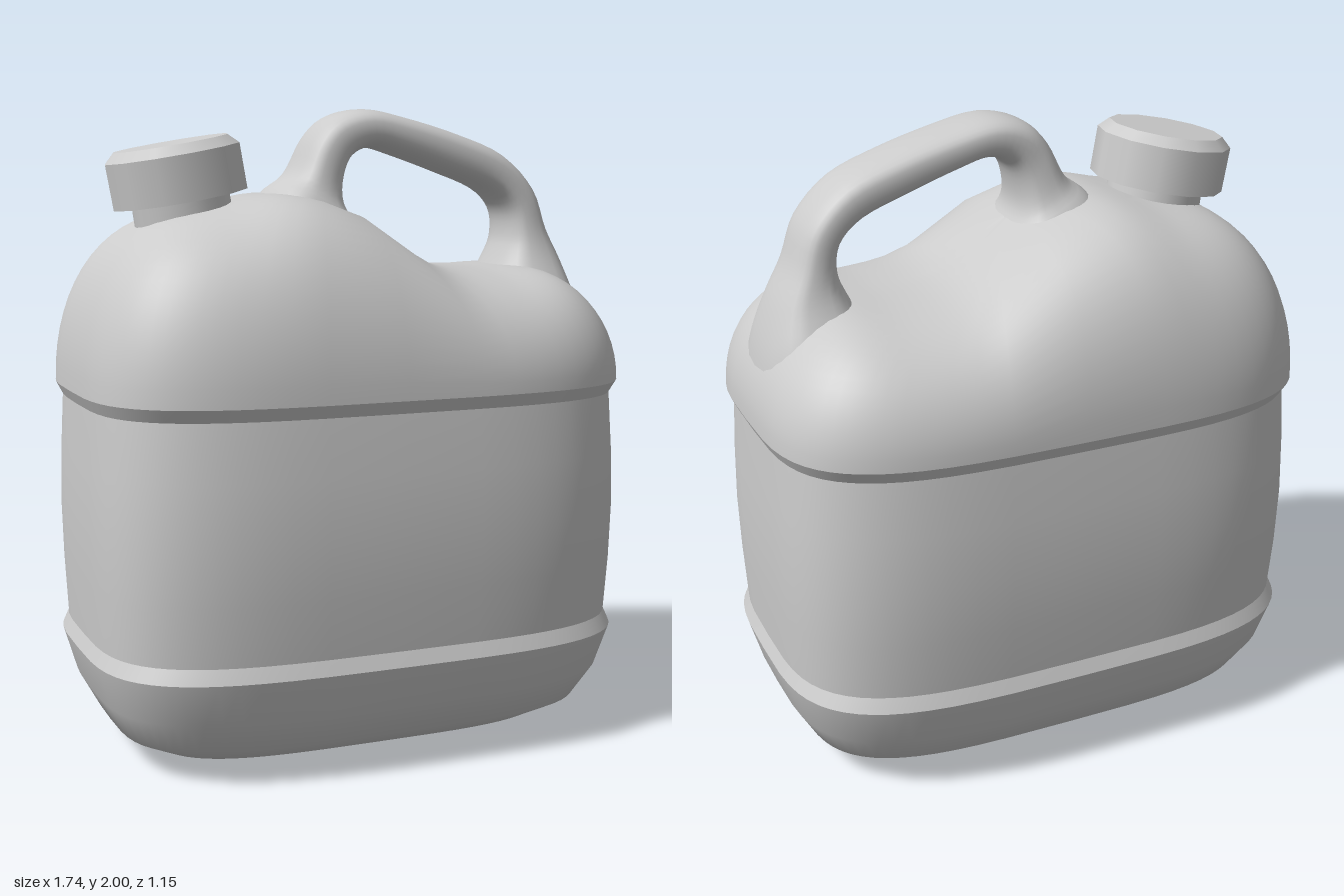
import * as THREE from 'three';

const material = new THREE.MeshStandardMaterial({ color: 0xcccccc });

// Skin closed rings of equal point count into one smooth surface
function loft(rings) {
  const n = rings[0].length;
  const pos = rings.flatMap(r => r.flatMap(p => [p.x, p.y, p.z]));
  const index = [];
  for (let i = 0; i < rings.length - 1; i++) {
    for (let j = 0; j < n; j++) {
      const k = (j + 1) % n;
      const a = i * n + j, b = i * n + k, c = a + n, d = b + n;
      index.push(a, c, b, b, c, d);
    }
  }
  const g = new THREE.BufferGeometry();
  g.setAttribute('position', new THREE.Float32BufferAttribute(pos, 3));
  g.setIndex(index);
  g.computeVertexNormals();
  return g;
}

// Unit superellipse points
function superellipse(count, power) {
  const f = v => Math.sign(v) * Math.pow(Math.abs(v), 2 / power);
  return Array.from({ length: count }, (_, j) => {
    const a = (j / count) * Math.PI * 2;
    return [f(Math.cos(a)), f(Math.sin(a))];
  });
}

const outline = superellipse(64, 3.7);
const bodyRing = ([y, hx, hz]) => outline.map(([c, s]) => new THREE.Vector3(c * hx, y, s * hz));

// Height of the top surface, evenly spaced along x
const HX = 0.87, HZ = 0.575, SHOULDER = 1.15;
const crest = new THREE.SplineCurve(
  [1.70, 1.71, 1.71, 1.74, 1.68, 1.535, 1.505, 1.54, 1.53].map((y, i) => new THREE.Vector2(i, y)));
const crestAt = x => crest.getPoint(THREE.MathUtils.clamp((x + HX) / (2 * HX), 0, 1)).y;

// Domed top: rings shrink to the middle while rising to the crest
function shoulderGeometry() {
  const rings = [];
  const steps = 22;
  for (let i = 0; i <= steps; i++) {
    const u = Math.max(Math.cos((i / steps) * Math.PI / 2), 0.002);
    const rise = Math.sqrt(1 - u ** 4);
    rings.push(outline.map(([c, s]) => {
      const x = c * HX * u ** 0.8;
      return new THREE.Vector3(x, SHOULDER + (crestAt(x) - SHOULDER) * rise, s * HZ * u ** 1.2);
    }));
  }
  return loft(rings);
}

// Handle: sections spanning an outer and an inner edge, with half width in z
function handleGeometry() {
  const sections = [ // outer x, y, inner x, y, half width
    [-0.34, 1.58, 0.12, 1.48, 0.25],
    [-0.24, 1.735, 0.05, 1.62, 0.185],
    [-0.16, 1.80, 0.00, 1.70, 0.14],
    [-0.10, 1.91, 0.00, 1.78, 0.12],
    [-0.03, 1.975, 0.03, 1.85, 0.115],
    [0.08, 2.00, 0.10, 1.88, 0.115],
    [0.22, 1.975, 0.20, 1.855, 0.115],
    [0.40, 1.925, 0.36, 1.80, 0.115],
    [0.56, 1.86, 0.50, 1.745, 0.115],
    [0.67, 1.75, 0.57, 1.68, 0.118],
    [0.72, 1.62, 0.58, 1.60, 0.125],
    [0.775, 1.51, 0.555, 1.53, 0.15],
    [0.82, 1.38, 0.50, 1.42, 0.21],
    [0.845, 1.24, 0.45, 1.30, 0.25],
  ];
  const curve = f => new THREE.CatmullRomCurve3(sections.map(f), false, 'catmullrom', 0.5);
  const outer = curve(s => new THREE.Vector3(s[0], s[1], s[4]));
  const inner = curve(s => new THREE.Vector3(s[2], s[3], s[4]));
  const section = superellipse(28, 2.7);
  const rings = [];
  const steps = 52;
  for (let i = 0; i <= steps; i++) {
    const o = outer.getPoint(i / steps), n = inner.getPoint(i / steps);
    rings.push(section.map(([c, s]) => new THREE.Vector3(
      (o.x + n.x) / 2 + c * (o.x - n.x) / 2,
      (o.y + n.y) / 2 + c * (o.y - n.y) / 2,
      -s * o.z)));
  }
  return loft(rings);
}

export function createModel() {
  const group = new THREE.Group();
  const add = (name, geometry, parent = group) => {
    const mesh = new THREE.Mesh(geometry, material);
    mesh.name = name;
    parent.add(mesh);
    return mesh;
  };

  // Container walls: [y, half width, half depth]; separate pieces keep edges crisp
  const walls = {
    base: [[0, 0.001, 0.001], [0.004, 0.35, 0.15], [0.015, 0.52, 0.26], [0.04, 0.66, 0.36],
      [0.1, 0.77, 0.46], [0.21, 0.83, 0.53], [0.345, 0.868, 0.572]],
    lowerBand: [[0.345, 0.868, 0.572], [0.39, 0.85, 0.553]],
    panel: [[0.39, 0.85, 0.553], [0.57, 0.858, 0.57], [0.75, 0.862, 0.577],
      [0.93, 0.858, 0.57], [1.11, 0.85, 0.553]],
    upperBand: [[1.11, 0.85, 0.553], [SHOULDER, HX, HZ]],
  };
  for (const [name, profile] of Object.entries(walls)) add(name, loft(profile.map(bodyRing)));
  add('shoulder', shoulderGeometry());
  add('handle', handleGeometry());

  // Tilted neck and screw cap
  const spout = new THREE.Group();
  spout.name = 'spout';
  spout.position.set(-0.513, 1.725, 0);
  spout.rotation.z = 0.175;
  group.add(spout);
  add('neck', new THREE.CylinderGeometry(0.15, 0.155, 0.16, 24), spout).position.y = -0.06;
  add('cap', new THREE.CylinderGeometry(0.212, 0.212, 0.14, 12), spout).position.y = 0.07;
  add('capBevel', new THREE.CylinderGeometry(0.18, 0.212, 0.03, 12), spout).position.y = 0.155;

  return group;
}
